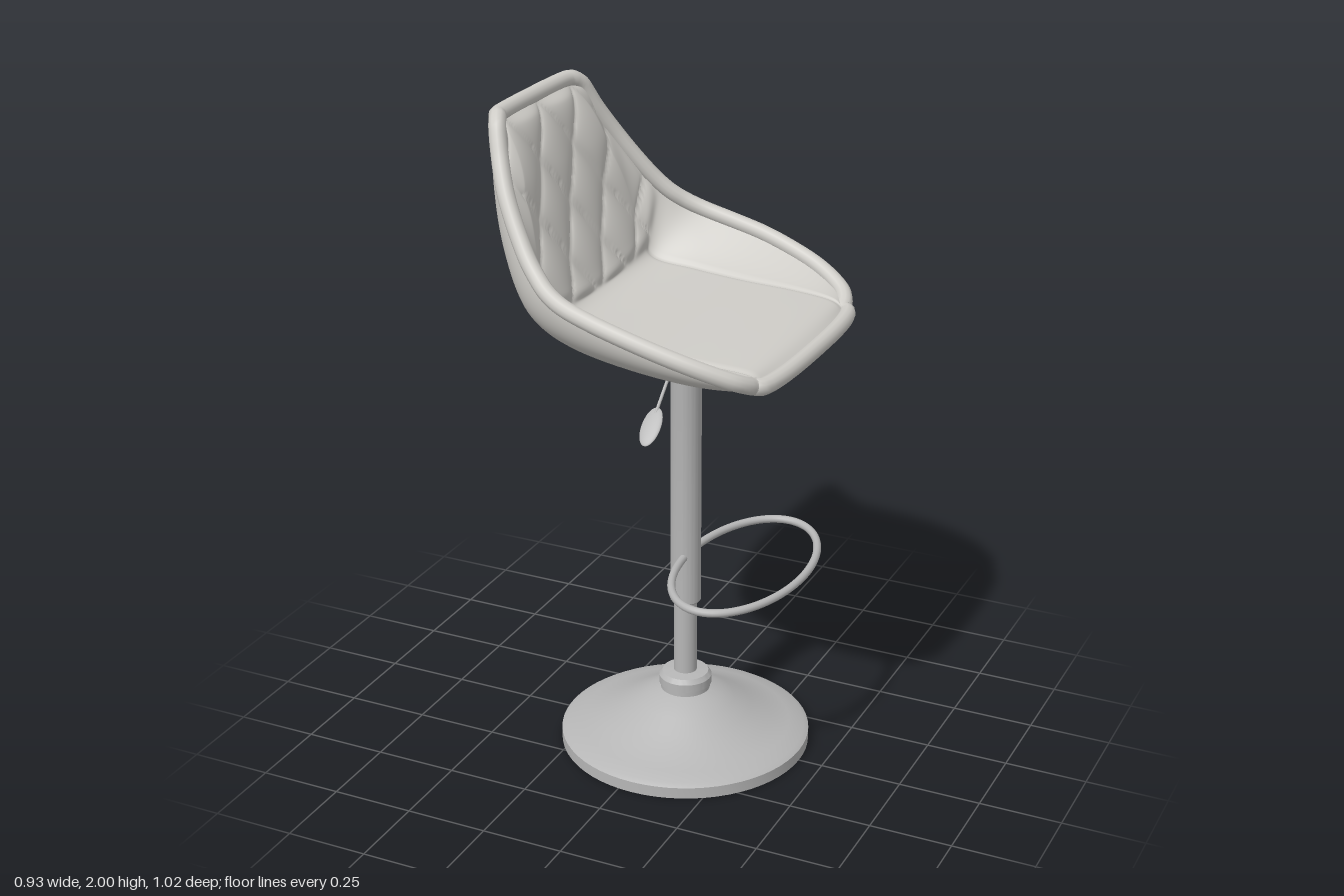
import * as THREE from 'three';
import { toCreasedNormals } from 'three/addons/utils/BufferGeometryUtils.js';

const POLE_X = 0.045;

// Seat stations, from the front lip back and up to the top of the backrest.
// Each: outer centre [x,y], rim [x,y,z], inner centre [x,y], inner seam [x,y,z].
const STATIONS = [
  [[0.44, 1.34], [0.4, 1.345, 0.33], [0.44, 1.35], [0.415, 1.35, 0.3]],
  [[0.38, 1.308], [0.37, 1.375, 0.395], [0.38, 1.378], [0.37, 1.375, 0.32]],
  [[0.25, 1.297], [0.26, 1.425, 0.455], [0.25, 1.388], [0.25, 1.385, 0.33]],
  [[0.08, 1.305], [0.08, 1.485, 0.485], [0.08, 1.392], [0.08, 1.392, 0.33]],
  [[-0.1, 1.32], [-0.11, 1.54], [-0.08, 1.4], [-0.08, 1.405, 0.33]],
  [[-0.25, 1.35], [-0.205, 1.595, 0.43], [-0.21, 1.415], [-0.21, 1.425, 0.32]],
  [[-0.34, 1.41], [-0.275, 1.675, 0.39], [-0.245, 1.46], [-0.245, 1.5, 0.31]],
  [[-0.41, 1.55], [-0.345, 1.785, 0.34], [-0.305, 1.62], [-0.295, 1.63, 0.29]],
  [[-0.455, 1.72], [-0.39, 1.88, 0.29], [-0.36, 1.8], [-0.345, 1.8, 0.25]],
  [[-0.466, 1.88], [-0.415, 1.95, 0.255], [-0.4, 1.92], [-0.395, 1.92, 0.22]],
  [[-0.445, 1.972], [-0.432, 1.972, 0.22], [-0.44, 1.972], [-0.436, 1.972, 0.2]],
];
STATIONS[4][1][2] = 0.47;
const track = (k) => new THREE.CatmullRomCurve3(
  STATIONS.map((s) => new THREE.Vector3(s[k][0], s[k][1], s[k][2] || 0)), false, 'catmullrom', 0.5);
const [outerLine, rimLine, innerLine, seamLine] = [0, 1, 2, 3].map(track);

// Rounded bowl from the centre line out to the rim
function outerPoint(t, u) {
  const c = outerLine.getPoint(t), r = rimLine.getPoint(t);
  const a = Math.min(Math.abs(u), 1) * Math.PI / 2;
  const s = Math.pow(Math.sin(a), 0.75);
  const h = 1 - Math.pow(Math.max(Math.cos(a), 0), 0.75);
  return new THREE.Vector3(c.x + (r.x - c.x) * h, c.y + (r.y - c.y) * h, Math.sign(u) * r.z * s);
}

// Flat cushion to the seam, then a side panel to the rim, with diamond quilting on the back
const SEAM = 0.62;
function innerPoint(t, u) {
  const c = innerLine.getPoint(t), k = seamLine.getPoint(t), r = rimLine.getPoint(t);
  const a = Math.abs(u), p = new THREE.Vector3();
  if (a <= SEAM) {
    const f = a / SEAM;
    p.set(c.x + (k.x - c.x) * f * f, c.y + (k.y - c.y) * f * f, k.z * f);
  } else {
    const f = (a - SEAM) / (1 - SEAM), e = Math.pow(f, 1.25);
    p.set(k.x + (r.x - k.x) * e, k.y + (r.y - k.y) * e, k.z + (r.z - k.z) * f);
  }
  p.z *= Math.sign(u);
  const fade = THREE.MathUtils.smoothstep(1 - a, 0, 0.1) * THREE.MathUtils.smoothstep(1 - t, 0, 0.08);
  const back = THREE.MathUtils.smoothstep(t, 0.53, 0.6) * fade;
  const d1 = (p.z / 0.2 + p.y / 0.28) * Math.PI, d2 = (p.z / 0.2 - p.y / 0.28) * Math.PI;
  const puff = Math.pow(Math.abs(Math.sin(d1) * Math.sin(d2)), 0.4);
  p.x += back * (0.022 * puff - 0.006);
  const groove = Math.max(0, 1 - Math.abs(a - SEAM) / 0.03) * fade * (1 - back);
  p.y -= 0.007 * groove * THREE.MathUtils.smoothstep(t, 0, 0.1);
  return p;
}

// Grid surface over a point rule
function loft(point, rows, cols, flip) {
  const pos = [], index = [];
  for (let i = 0; i <= rows; i++) {
    for (let j = 0; j <= cols; j++) {
      const p = point(i / rows, (j / cols) * 2 - 1);
      pos.push(p.x, p.y, p.z);
      if (i === rows || j === cols) continue;
      const a = i * (cols + 1) + j, b = a + cols + 1;
      if (flip) index.push(a, a + 1, b, b, a + 1, b + 1);
      else index.push(a, b, a + 1, b, b + 1, a + 1);
    }
  }
  const g = new THREE.BufferGeometry();
  g.setAttribute('position', new THREE.Float32BufferAttribute(pos, 3));
  g.setIndex(index);
  g.computeVertexNormals();
  return g;
}

// Closed path round the edge of the seat
function rimCurve() {
  const pts = [];
  for (let j = -5; j <= 5; j++) pts.push(outerPoint(0, j / 6));
  for (let i = 0; i <= 20; i++) pts.push(rimLine.getPoint(i / 20));
  for (let j = 5; j >= -5; j--) pts.push(outerPoint(1, j / 6));
  for (let i = 20; i >= 0; i--) {
    const p = rimLine.getPoint(i / 20);
    pts.push(p.setZ(-p.z));
  }
  return new THREE.CatmullRomCurve3(pts, true);
}

export function createModel() {
  const model = new THREE.Group();
  const upholstery = new THREE.MeshStandardMaterial({ color: 0xcfcdc8 });
  upholstery.name = 'upholstery';
  const metal = new THREE.MeshStandardMaterial({ color: 0xb6b6b6 });
  metal.name = 'metal';
  const sheetMetal = metal.clone();
  sheetMetal.side = THREE.DoubleSide;

  const add = (name, geometry, material, x = 0, y = 0, z = 0) => {
    const mesh = new THREE.Mesh(geometry, material);
    mesh.name = name;
    mesh.position.set(x, y, z);
    model.add(mesh);
    return mesh;
  };
  const lathe = (profile) => toCreasedNormals(
    new THREE.LatheGeometry(profile.map(([r, y]) => new THREE.Vector2(r, y)), 64), 0.6);

  // Seat
  add('seatShell', loft(outerPoint, 60, 48, true), upholstery);
  add('seatCushion', loft(innerPoint, 130, 110, false), upholstery);
  add('seatRim', new THREE.TubeGeometry(rimCurve(), 260, 0.025, 12, true), upholstery);

  // Trumpet base, hollow underneath
  add('base', lathe([[0.38, 0], [0.38, 0.035], [0.365, 0.045], [0.32, 0.056], [0.26, 0.078], [0.2, 0.108],
    [0.15, 0.137], [0.11, 0.158], [0.075, 0.17], [0.075, 0.185], [0.08, 0.187], [0.08, 0.212],
    [0.07, 0.226], [0.03, 0.23]]), sheetMetal, POLE_X);
  add('baseNut', new THREE.CylinderGeometry(0.06, 0.06, 0.04, 12), metal, POLE_X, 0.14);

  // Gas lift column
  add('innerPole', new THREE.CylinderGeometry(0.035, 0.035, 0.34, 40), metal, POLE_X, 0.32);
  add('outerPole', lathe([[0, 0.465], [0.042, 0.465], [0.046, 0.47], [0.046, 1.24], [0.05, 1.265],
    [0.065, 1.29], [0.065, 1.32], [0, 1.32]]), metal, POLE_X);

  // Oval footrest ring
  const ring = [];
  for (let i = 0; i < 32; i++) {
    const a = (i / 32) * Math.PI * 2;
    ring.push(new THREE.Vector3(0.24 + 0.185 * Math.cos(a), 0.625, 0.335 * Math.sin(a)));
  }
  add('footrest', new THREE.TubeGeometry(new THREE.CatmullRomCurve3(ring, true), 120, 0.012, 12, true), metal);

  // Height lever with a flat paddle
  const top = new THREE.Vector3(POLE_X, 1.305, 0.045), end = new THREE.Vector3(POLE_X, 1.14, 0.222);
  add('leverRod', new THREE.TubeGeometry(new THREE.LineCurve3(top, end), 1, 0.005, 8), metal);
  const paddle = add('leverPaddle', new THREE.SphereGeometry(1, 24, 16), metal, POLE_X, 1.125, 0.237);
  paddle.scale.set(0.03, 0.062, 0.007);
  paddle.quaternion.setFromUnitVectors(new THREE.Vector3(0, 1, 0), top.clone().sub(end).normalize());

  return model;
}
